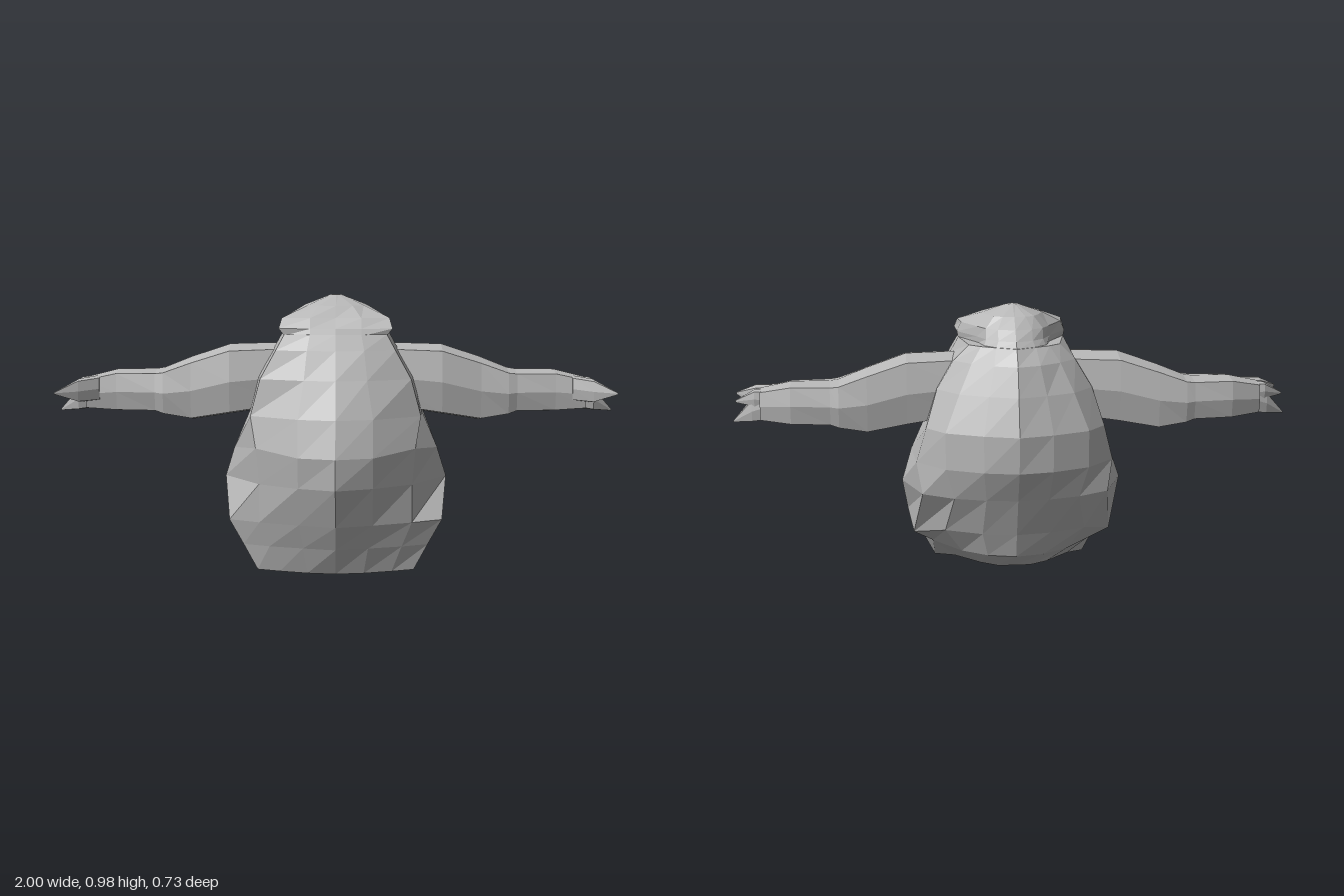
import * as THREE from 'three';

const V = (x, y, z) => new THREE.Vector3(x, y, z);

// Skin closed rings of equal length, capping both ends with a fan
function loft(rings, material, name) {
  const pos = [];
  const tri = (...pts) => pts.forEach((p) => pos.push(p.x, p.y, p.z));
  const n = rings[0].length;
  for (let i = 0; i < rings.length - 1; i++) {
    for (let j = 0; j < n; j++) {
      const k = (j + 1) % n;
      const [a, b, c, d] = [rings[i][j], rings[i][k], rings[i + 1][k], rings[i + 1][j]];
      tri(a, b, c);
      tri(a, c, d);
    }
  }
  for (const [ring, flip] of [[rings[0], true], [rings[rings.length - 1], false]]) {
    const mid = ring.reduce((s, p) => s.add(p), V(0, 0, 0)).divideScalar(n);
    for (let j = 0; j < n; j++) {
      const k = (j + 1) % n;
      if (flip) tri(mid, ring[k], ring[j]);
      else tri(mid, ring[j], ring[k]);
    }
  }
  const geo = new THREE.BufferGeometry();
  geo.setAttribute('position', new THREE.Float32BufferAttribute(pos, 3));
  geo.computeVertexNormals();
  const mesh = new THREE.Mesh(geo, material);
  mesh.name = name;
  return mesh;
}

// Symmetric ring: centre front z, six [x, z, lift] side points, centre back z
function bodyRing([y, front, sides, back], slope = 0) {
  const half = sides.map(([x, z, lift = 0]) => V(x, y + lift, z));
  const other = half.map((p) => V(-p.x, p.y, p.z)).reverse();
  const ring = [V(0, y, front), ...half, V(0, y, back), ...other];
  ring.forEach((p) => { p.y -= slope * p.z; });
  return ring;
}

// Eight-sided ring across the arm, with its corners pushed out to be boxy
function armRing([x, y, z, ry, rz], side) {
  const ring = [];
  for (let j = 0; j < 8; j++) {
    const a = (j * Math.PI) / 4;
    const push = j % 2 ? 1.22 : 1;
    ring.push(V(side * x, y + Math.cos(a) * ry * push, z + Math.sin(a) * rz * push));
  }
  return side < 0 ? ring.reverse() : ring;
}

export function createModel() {
  const model = new THREE.Group();
  model.name = 'creature';
  const grey = new THREE.MeshStandardMaterial({ color: 0xb8b8b8 });
  grey.name = 'grey';
  grey.flatShading = true;

  // Heavy belly with a keeled front, flared hips and a rounded back
  const torso = [
    [0.025, 0.2, [[0.1, 0.19], [0.2, 0.17], [0.28, 0.15], [0.21, 0.03, 0.015], [0.12, -0.1, 0.01], [0.06, -0.115]], -0.12],
    [0.1, 0.255, [[0.115, 0.225], [0.235, 0.19], [0.33, 0.15], [0.29, 0.02], [0.19, -0.12], [0.1, -0.185]], -0.21],
    [0.19, 0.302, [[0.13, 0.26], [0.27, 0.205], [0.38, 0.15], [0.36, 0, -0.05], [0.25, -0.16], [0.12, -0.22]], -0.242],
    [0.33, 0.36, [[0.13, 0.31], [0.27, 0.22], [0.4, 0.03], [0.33, -0.18], [0.22, -0.25], [0.11, -0.285]], -0.3],
    [0.44, 0.367, [[0.13, 0.33], [0.28, 0.235, 0.02], [0.365, 0.07], [0.35, -0.15], [0.25, -0.27], [0.12, -0.33]], -0.355],
    [0.57, 0.33, [[0.13, 0.3], [0.3, 0.2], [0.31, 0.05], [0.315, -0.18], [0.25, -0.27], [0.12, -0.33]], -0.365],
    [0.7, 0.27, [[0.11, 0.255], [0.265, 0.2], [0.28, 0.05], [0.275, -0.14], [0.2, -0.24], [0.1, -0.29]], -0.325],
    [0.8, 0.22, [[0.1, 0.215], [0.21, 0.19], [0.22, 0.05], [0.215, -0.13], [0.155, -0.2], [0.08, -0.255]], -0.285],
    [0.855, 0.195, [[0.09, 0.19], [0.18, 0.175], [0.19, 0.05], [0.16, -0.13], [0.12, -0.17], [0.07, -0.2]], -0.238],
  ];
  model.add(loft(torso.map((r, i) => bodyRing(r, i === 0 ? 0.12 : 0)), grey, 'body'));

  // Low head with wide brows, pinched behind them, up to a blunt crown
  const head = [
    [0.85, 0.195, [[0.09, 0.19], [0.18, 0.17], [0.19, 0.05], [0.13, -0.07], [0.11, -0.155], [0.07, -0.2]], -0.238],
    [0.875, 0.185, [[0.09, 0.18], [0.2, 0.17], [0.195, 0.05], [0.13, -0.07], [0.1, -0.14], [0.06, -0.18]], -0.21],
    [0.91, 0.14, [[0.09, 0.15], [0.19, 0.13], [0.18, 0.04], [0.125, -0.07], [0.1, -0.12], [0.06, -0.15]], -0.168],
    [0.95, 0.1, [[0.06, 0.09], [0.1, 0.06], [0.11, 0], [0.09, -0.06], [0.07, -0.1], [0.04, -0.115]], -0.12],
    [0.984, -0.005, [[0.01, -0.01], [0.015, -0.015], [0.02, -0.02], [0.018, -0.03], [0.015, -0.04], [0.01, -0.045]], -0.05],
  ];
  model.add(loft(head.map((r) => bodyRing(r)), grey, 'head'));

  // Arms: x, centre y, centre z, half height, half depth
  const arm = [
    [0.16, 0.7, -0.005, 0.113, 0.12],
    [0.38, 0.68, -0.005, 0.127, 0.127],
    [0.52, 0.645, -0.02, 0.115, 0.116],
    [0.62, 0.635, -0.022, 0.085, 0.112],
    [0.65, 0.638, -0.023, 0.077, 0.103],
    [0.79, 0.638, -0.021, 0.076, 0.085],
    [0.9, 0.63, 0, 0.058, 0.062],
  ];
  // Pointed fingers, each narrowing to its tip
  const fingers = [
    [[0.85, 0.65, 0.02, 0.045, 0.05], [0.92, 0.645, 0.065, 0.042, 0.045], [1, 0.642, 0.138, 0.003, 0.003]],
    [[0.87, 0.63, -0.01, 0.055, 0.05], [0.93, 0.61, 0, 0.042, 0.045], [1, 0.567, 0, 0.003, 0.003]],
    [[0.86, 0.65, -0.02, 0.04, 0.035], [0.92, 0.655, -0.015, 0.03, 0.035], [0.99, 0.64, -0.003, 0.004, 0.004]],
  ];
  for (const [side, word] of [[1, 'left'], [-1, 'right']]) {
    model.add(loft(arm.map((r) => armRing(r, side)), grey, word + 'Arm'));
    fingers.forEach((f, i) => {
      model.add(loft(f.map((r) => armRing(r, side)), grey, word + 'Finger' + (i + 1)));
    });
  }
  return model;
}
